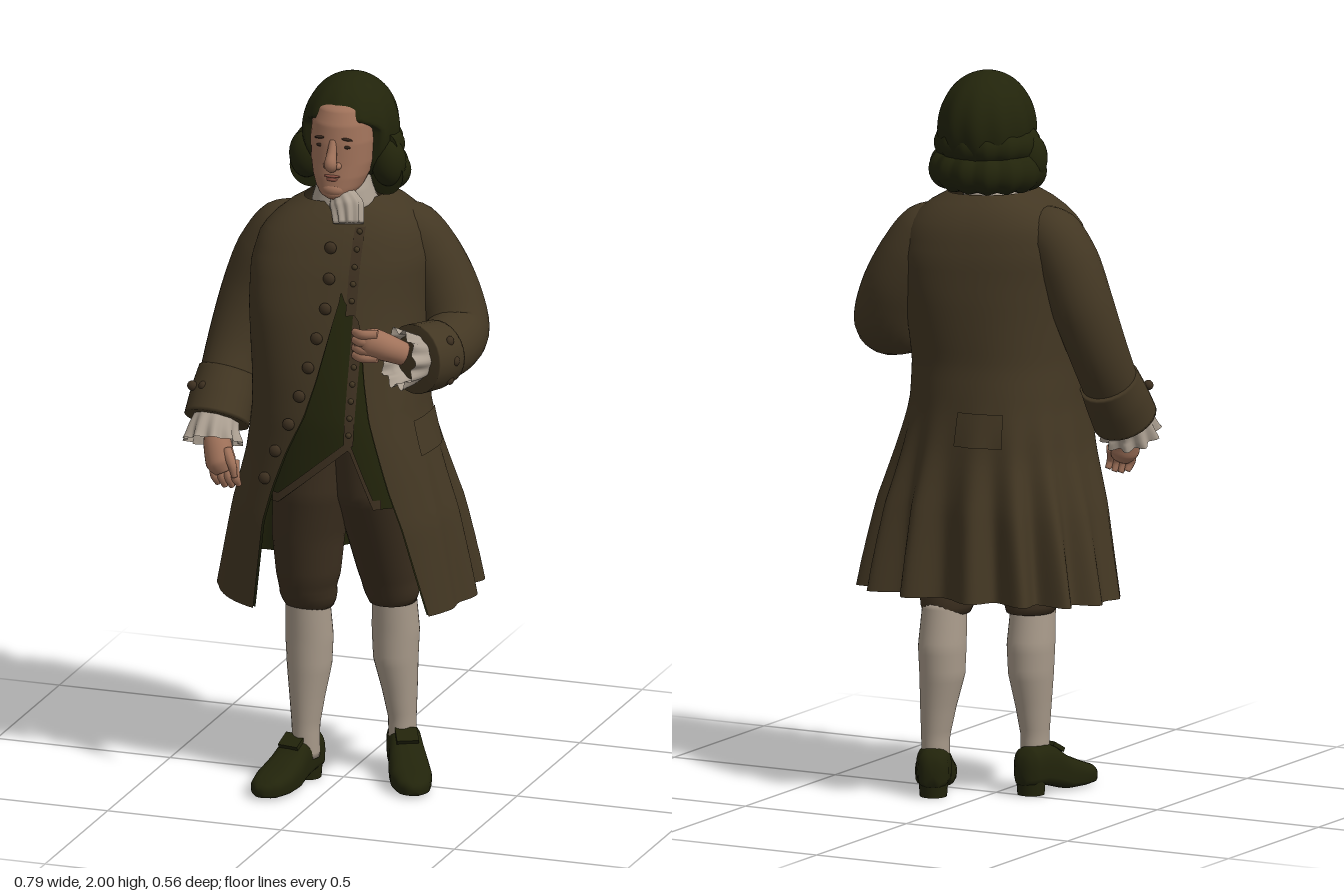
import * as THREE from 'three';

const mat = (name, color) => {
  const m = new THREE.MeshStandardMaterial({ color, side: THREE.DoubleSide });
  m.name = name;
  return m;
};

// Linear look-up in a table of rows [key, ...values], keys ascending
function look(table, k) {
  let i = 0;
  while (i < table.length - 2 && k > table[i + 1][0]) i++;
  const a = table[i], b = table[i + 1];
  const t = THREE.MathUtils.clamp((k - a[0]) / (b[0] - a[0]), 0, 1);
  return a.slice(1).map((v, n) => v + (b[n + 1] - v) * t);
}

// Skin over rows of [x, y, z] points; closed rows can be capped
function loft(rows, closed = true, cap = true) {
  const n = rows[0].length, pos = rows.flat(2), idx = [];
  for (let i = 0; i < rows.length - 1; i++) {
    for (let j = 0; j < (closed ? n : n - 1); j++) {
      const a = i * n + j, b = i * n + (j + 1) % n;
      idx.push(a, b, b + n, a, b + n, a + n);
    }
  }
  if (closed && cap) {
    [0, rows.length - 1].forEach((r) => {
      const c = pos.length / 3;
      pos.push(...[0, 1, 2].map((k) => rows[r].reduce((s, p) => s + p[k], 0) / n));
      for (let j = 0; j < n; j++) {
        const a = r * n + j, b = r * n + (j + 1) % n;
        r ? idx.push(a, b, c) : idx.push(b, a, c);
      }
    });
  }
  const g = new THREE.BufferGeometry();
  g.setAttribute('position', new THREE.Float32BufferAttribute(pos, 3));
  g.setIndex(idx);
  g.computeVertexNormals();
  return g;
}

const range = (n, f) => Array.from({ length: n + 1 }, (_, i) => f(i / n));

// Upright form from rows [y, cx, cz, rx, rz]
const column = (table, seg = 28, steps = 30) => loft(range(steps, (v) => {
  const y = THREE.MathUtils.lerp(table[0][0], table[table.length - 1][0], v), [cx, cz, rx, rz] = look(table, y);
  return range(seg - 1, (u) => {
    const a = u * (seg - 1) / seg * Math.PI * 2;
    return [cx + rx * Math.sin(a), y, cz + rz * Math.cos(a)];
  });
}));

// Tapered limb through [x, y, z, radius], optionally ruffled
function limb(pts, { ref = [1, 0, 0], ruffle = 0, cap = true, seg = 24 } = {}) {
  const curve = new THREE.CatmullRomCurve3(pts.map((p) => new THREE.Vector3(...p)));
  const radii = pts.map((p, i) => [i / (pts.length - 1), p[3]]);
  const count = ruffle ? 72 : seg;
  return loft(range(pts.length * 5, (u) => {
    const c = curve.getPoint(u), t = curve.getTangent(u), [r] = look(radii, u);
    const s = new THREE.Vector3(...ref).addScaledVector(t, -t.dot(new THREE.Vector3(...ref))).normalize();
    const w = new THREE.Vector3().crossVectors(t, s);
    return range(count - 1, (v) => {
      const a = v * (count - 1) / count * Math.PI * 2, q = r * (1 + ruffle * u * Math.cos(10 * a));
      return c.clone().addScaledVector(s, q * Math.cos(a)).addScaledVector(w, q * Math.sin(a)).toArray();
    });
  }), true, cap);
}

// Coat outline: y, right x, left x, front z, back z
const COAT = [[0.555, -0.335, 0.365, 0.28, -0.255], [0.8, -0.285, 0.325, 0.288, -0.225],
  [0.95, -0.245, 0.285, 0.28, -0.195], [1.08, -0.225, 0.25, 0.27, -0.175], [1.2, -0.22, 0.235, 0.25, -0.162],
  [1.38, -0.225, 0.23, 0.215, -0.175], [1.5, -0.225, 0.235, 0.185, -0.178], [1.58, -0.205, 0.215, 0.155, -0.168],
  [1.635, -0.155, 0.17, 0.125, -0.145], [1.67, -0.095, 0.11, 0.095, -0.115]];
// Coat front edges: y, right panel x, left panel x
const EDGE = [[0.555, -0.17, 0.31], [0.8, -0.14, 0.25], [0.9, -0.11, 0.215], [1, -0.07, 0.185], [1.1, -0.02, 0.155],
  [1.2, 0.01, 0.135], [1.3, 0.032, 0.12], [1.36, 0.045, 0.11], [1.43, 0.06, 0.06], [1.67, 0.045, 0.045]];
const P = 0.85;
const spow = (v, p) => Math.sign(v) * Math.abs(v) ** p;
function coatPoint(y, a, off = 0) {
  const [x0, x1, zf, zb] = look(COAT, y);
  const k = 1 - THREE.MathUtils.smoothstep(y, 0.555, 1.15);
  const back = THREE.MathUtils.clamp(0.4 - Math.cos(a), 0, 1);
  const f = 1 + 0.1 * k * back * Math.cos(15 * (Math.PI - a - 0.262));
  const x = (x0 + x1) / 2 + ((x1 - x0) / 2 * f + off) * spow(Math.sin(a), P);
  // the chest turns so the left shoulder sits further back
  const turn = 0.3 * THREE.MathUtils.smoothstep(y, 1.0, 1.45);
  return [x, y - 0.018 * k * Math.cos(a),
    (zf + zb) / 2 + ((zf - zb) / 2 * f + off) * spow(Math.cos(a), P) - turn * (x - 0.02)];
}
function angleAt(x, y) {
  const [x0, x1] = look(COAT, y);
  return Math.asin(spow(THREE.MathUtils.clamp((x - (x0 + x1) / 2) / ((x1 - x0) / 2), -1, 1), 1 / P));
}
const coatShell = (y0, y1, off) => loft(range(44, (v) => {
  const y = y0 + (y1 - y0) * v, [r, l] = look(EDGE, y);
  const a0 = angleAt(l, y), a1 = angleAt(r, y) + Math.PI * 2;
  return range(160, (u) => coatPoint(y, a0 + (a1 - a0) * u, off));
}), false);
const coatPatch = (a0, a1, y0, y1, off) => loft(range(6, (v) => range(10, (u) =>
  coatPoint(y0 + (y1 - y0) * v, a0 + (a1 - a0) * u, off))), false);
const frontPanel = (x0, x1, bottom, top, off) => loft(range(24, (v) => range(48, (u) => {
  const x = x0 + (x1 - x0) * u, b = bottom(x), y = b + (top(x) - b) * v;
  return coatPoint(y, angleAt(x, y), off);
})), false);

export function createModel() {
  const root = new THREE.Group();
  const M = {
    coat: mat('brown coat cloth', 0x433723), breeches: mat('dark brown cloth', 0x3d3020),
    olive: mat('dark olive', 0x22240b), skin: mat('skin', 0xa0725a), linen: mat('linen', 0xaa9e90),
    stocking: mat('stocking', 0xa89a8a), lip: mat('lips', 0x885042), dark: mat('eye brown', 0x33241a),
  };
  const add = (name, geo, m, parent = root) => {
    const mesh = new THREE.Mesh(geo, m);
    mesh.name = name;
    parent.add(mesh);
    return mesh;
  };
  const ball = (name, m, p, s) => {
    const b = add(name, new THREE.SphereGeometry(1, 20, 14), m);
    b.position.set(...p);
    b.scale.set(...s);
    return b;
  };

  // Coat with lining, pocket flaps and buttons
  add('coat', coatShell(0.555, 1.67, 0), M.coat);
  add('coatLining', coatShell(0.557, 1.35, -0.008), M.olive);
  add('leftPocketFlap', coatPatch(1.25, 1.82, 0.985, 1.08, 0.009), M.coat);
  add('backPocketFlap', coatPatch(3.13, 3.6, 0.985, 1.08, 0.009), M.coat);
  for (let i = 0; i < 9; i++) {
    const y = 1.56 - i * 0.08, x = look(EDGE, y)[0] - 0.03;
    ball('coatButton', M.breeches, coatPoint(y, angleAt(x, y), 0.005), [0.017, 0.017, 0.011]);
  }

  // Waistcoat with trim, placket and small buttons
  const hem = (x) => Math.max(0.86, 1.02 - (x < 0.11 ? 0.76 * (0.11 - x) : 2.3 * (x - 0.11)));
  add('waistcoat', frontPanel(-0.17, 0.24, hem, () => 1.48, -0.016), M.olive);
  add('waistcoatTrim', frontPanel(-0.12, 0.2, hem, (x) => hem(x) + 0.025, -0.012), M.breeches);
  add('waistcoatPlacket', frontPanel(0.095, 0.122, () => 1.03, () => 1.44, -0.012), M.breeches);
  add('upperPlacket', frontPanel(0.075, 0.1, () => 1.38, () => 1.61, 0.004), M.breeches);
  for (let y = 1.06; y < 1.6; y += 0.045) {
    const upper = y > 1.4, x = upper ? 0.087 : 0.108;
    ball('waistcoatButton', M.coat, coatPoint(y, angleAt(x, y), upper ? 0.006 : -0.01), [0.008, 0.008, 0.007]);
  }

  // Legs
  add('rightBreeches', column([[0.5, -0.078, 0.05, 0.064, 0.07], [0.53, -0.078, 0.06, 0.078, 0.082], [0.56, -0.078, 0.068, 0.078, 0.084],
    [0.6, -0.074, 0.075, 0.088, 0.09], [0.72, -0.07, 0.085, 0.1, 0.102], [0.85, -0.05, 0.085, 0.115, 0.125], [1.08, -0.03, 0.06, 0.13, 0.15]]), M.breeches);
  add('leftBreeches', column([[0.5, 0.12, -0.06, 0.064, 0.07], [0.53, 0.12, -0.055, 0.076, 0.08], [0.56, 0.118, -0.045, 0.077, 0.084],
    [0.6, 0.117, -0.03, 0.083, 0.09], [0.72, 0.115, 0.015, 0.095, 0.107], [0.85, 0.11, 0.06, 0.11, 0.13], [1.08, 0.1, 0.06, 0.13, 0.15]]), M.breeches);
  const stocking = (x, z, dx, dz) => column([[0.07, x + dx, z + dz, 0.037, 0.042], [0.16, x + dx, z + dz, 0.038, 0.044],
    [0.24, x + dx * 0.6, z + dz * 0.6, 0.048, 0.054], [0.33, x, z, 0.061, 0.067], [0.41, x, z, 0.065, 0.07],
    [0.53, x, z + 0.015, 0.06, 0.063]]);
  add('rightStocking', stocking(-0.08, 0.05, -0.006, 0.012), M.stocking);
  add('leftStocking', stocking(0.12, -0.085, 0.016, -0.008), M.stocking);

  // Shoes: length, half width, top, underside
  const SHOE = [[0, 0.022, 0.1, 0.03], [0.02, 0.042, 0.13, 0.026], [0.07, 0.048, 0.138, 0.024], [0.11, 0.048, 0.13, 0.014],
    [0.16, 0.055, 0.095, 0], [0.22, 0.057, 0.07, 0], [0.27, 0.044, 0.053, 0.002], [0.295, 0.016, 0.036, 0.008]];
  const shoe = (name, x, z, turn, len) => {
    const g = new THREE.Group();
    g.name = name;
    g.position.set(x, 0, z);
    g.rotation.y = turn;
    g.scale.z = len;
    add('upper', loft(range(30, (v) => {
      const s = v * 0.295, [w, t, b] = look(SHOE, s);
      return range(23, (u) => {
        const a = u * 23 / 24 * Math.PI * 2, sy = Math.sin(a);
        return [w * spow(Math.cos(a), 0.7), (t + b) / 2 + (t - b) / 2 * spow(sy, sy < 0 ? 0.4 : 0.9), s];
      });
    })), M.olive, g);
    add('heel', new THREE.CylinderGeometry(0.04, 0.037, 0.04, 20), M.olive, g).position.set(0, 0.02, 0.042);
    const tongue = add('buckleFlap', new THREE.BoxGeometry(0.06, 0.012, 0.05), M.olive, g);
    tongue.position.set(0, 0.122, 0.125);
    tongue.rotation.x = 0.5;
    root.add(g);
  };
  shoe('rightShoe', -0.085, -0.015, -0.2, 1);
  shoe('leftShoe', 0.105, -0.165, 0.47, 1.08);

  // Right arm, hanging
  add('rightSleeve', limb([[-0.1, 1.575, 0.01, 0.06], [-0.165, 1.55, 0.015, 0.082], [-0.212, 1.48, 0.018, 0.087], [-0.255, 1.36, 0.025, 0.086],
    [-0.287, 1.22, 0.065, 0.08], [-0.302, 1.07, 0.145, 0.075]]), M.coat);
  add('rightCuff', limb([[-0.297, 1.15, 0.095, 0.083], [-0.302, 1.095, 0.13, 0.088], [-0.305, 1.035, 0.17, 0.09]]), M.coat);
  add('rightFrill', limb([[-0.304, 1.05, 0.165, 0.06], [-0.304, 1.01, 0.195, 0.07], [-0.302, 0.985, 0.208, 0.077]], { ruffle: 0.13, cap: false }), M.linen);
  add('rightHand', limb([[-0.3, 1.04, 0.18, 0.03], [-0.288, 0.985, 0.21, 0.038], [-0.272, 0.935, 0.225, 0.042], [-0.26, 0.91, 0.228, 0.028]]), M.skin);
  for (let i = 0; i < 4; i++) {
    const x = -0.297 + i * 0.02;
    add('rightFinger', limb([[x, 0.94, 0.225 - i * 0.003, 0.014], [x + 0.012, 0.9, 0.238, 0.013], [x + 0.018, 0.867 + Math.abs(i - 1.4) * 0.006, 0.228, 0.008]], { seg: 10 }), M.skin);
  }
  add('rightThumb', limb([[-0.255, 0.975, 0.23, 0.015], [-0.232, 0.94, 0.25, 0.013], [-0.224, 0.905, 0.25, 0.008]], { seg: 10 }), M.skin);

  // Left arm, bent with the hand tucked at the chest
  add('leftSleeve', limb([[0.1, 1.575, -0.07, 0.06], [0.165, 1.55, -0.085, 0.082], [0.212, 1.48, -0.1, 0.088], [0.262, 1.385, -0.1, 0.09],
    [0.302, 1.29, -0.065, 0.09], [0.305, 1.265, 0.02, 0.085], [0.285, 1.265, 0.11, 0.08]]), M.coat);
  add('leftCuff', limb([[0.3, 1.265, 0.07, 0.09], [0.285, 1.265, 0.115, 0.095], [0.262, 1.268, 0.165, 0.096]]), M.coat);
  add('leftFrill', limb([[0.268, 1.272, 0.15, 0.06], [0.252, 1.276, 0.185, 0.07], [0.232, 1.28, 0.212, 0.078]], { ruffle: 0.13, cap: false }), M.linen);
  add('leftHand', limb([[0.245, 1.29, 0.195, 0.032], [0.21, 1.31, 0.22, 0.037], [0.165, 1.32, 0.222, 0.042], [0.125, 1.315, 0.21, 0.03]], { ref: [0, 1, 0] }), M.skin);
  for (let i = 0; i < 4; i++) {
    const y = 1.352 - i * 0.022;
    add('leftFinger', limb([[0.185, y, 0.24, 0.014], [0.145, y - 0.002, 0.247, 0.014], [0.112, y - 0.004, 0.225, 0.011]], { ref: [0, 1, 0], seg: 10 }), M.skin);
  }
  // Cuff buttons
  for (let i = -1; i <= 1; i++) {
    ball('rightCuffButton', M.breeches, [-0.335 + i * 0.035, 1.135 + i * 0.005, 0.192 - Math.abs(i) * 0.008], [0.014, 0.014, 0.012]);
    ball('leftCuffButton', M.breeches, [0.372 - Math.abs(i) * 0.017, 1.266 + i * 0.055, 0.135], [0.011, 0.014, 0.014]);
  }

  // Neckcloth with a gathered front
  add('neckcloth', column([[1.6, 0.012, 0.02, 0.09, 0.085], [1.66, 0.012, 0.022, 0.09, 0.09], [1.7, 0.012, 0.025, 0.077, 0.08], [1.73, 0.012, 0.02, 0.068, 0.065]]), M.linen);
  const jabot = add('jabot', limb([[0.02, 1.705, 0.095, 0.025], [0.035, 1.67, 0.105, 0.036], [0.045, 1.62, 0.125, 0.03]], { ruffle: 0.15 }), M.linen);
  jabot.scale.x = 1.3;

  // Head and face
  add('head', column([[1.685, 0.012, 0.09, 0.028, 0.036], [1.695, 0.012, 0.076, 0.048, 0.06], [1.715, 0.012, 0.062, 0.064, 0.074],
    [1.745, 0.012, 0.05, 0.077, 0.084], [1.78, 0.012, 0.04, 0.085, 0.09], [1.84, 0.012, 0.035, 0.089, 0.092], [1.89, 0.012, 0.03, 0.085, 0.091],
    [1.93, 0.012, 0.025, 0.07, 0.078], [1.96, 0.012, 0.015, 0.03, 0.035]], 32, 60), M.skin);
  add('nose', limb([[0.013, 1.85, 0.118, 0.01], [0.014, 1.815, 0.134, 0.014], [0.015, 1.79, 0.146, 0.018], [0.015, 1.775, 0.135, 0.014]], { seg: 14 }), M.skin);
  ball('chin', M.skin, [0.013, 1.712, 0.115], [0.034, 0.022, 0.025]);
  ball('upperLip', M.lip, [0.013, 1.752, 0.128], [0.024, 0.005, 0.009]);
  ball('lowerLip', M.lip, [0.013, 1.743, 0.128], [0.019, 0.006, 0.009]);
  for (const s of [-1, 1]) {
    const x = 0.013 + s * 0.036;
    ball('nostril', M.skin, [0.014 + s * 0.015, 1.782, 0.13], [0.011, 0.01, 0.012]);
    ball('eye', M.dark, [x, 1.834, 0.117], [0.013, 0.005, 0.004]);
    ball('brow', M.dark, [x, 1.856, 0.116], [0.019, 0.004, 0.006]).rotation.z = -s * 0.12;
  }

  // Wig: cap swept back from the face, with two wavy rolls at the back
  const cap = new THREE.SphereGeometry(1, 72, 48), p = cap.attributes.position;
  for (let i = 0; i < p.count; i++) {
    const a = Math.atan2(p.getX(i), p.getZ(i)), low = 1 - Math.max(0, p.getY(i));
    const f = 1 + 0.025 * low * Math.cos(11 * a), y = 1.85 + 0.15 * p.getY(i);
    const limit = 0.04 + 0.08 * THREE.MathUtils.smoothstep(y, 1.865, 1.925);
    p.setXYZ(i, 0.012 + 0.13 * f * p.getX(i), y, Math.min(limit, -0.03 + 0.143 * f * p.getZ(i)));
  }
  cap.computeVertexNormals();
  add('wigCap', cap, M.olive);
  const roll = (name, y, rx, rz, r) => add(name, limb(range(16, (u) => {
    const a = Math.PI * (0.42 + 1.16 * u), q = r * (0.97 + 0.07 * Math.cos(u * 16 * Math.PI));
    return [0.012 + rx * Math.sin(a), y, -0.022 + rz * Math.cos(a), q];
  }), { ref: [0, 1, 0] }), M.olive);
  roll('upperWigRoll', 1.805, 0.1, 0.1, 0.048);
  roll('lowerWigRoll', 1.732, 0.108, 0.1, 0.057);
  for (const s of [-1, 1]) ball('sideRoll', M.olive, [0.01 + s * 0.118, 1.765, -0.005], [0.048, 0.068, 0.048]);
  return root;
}
